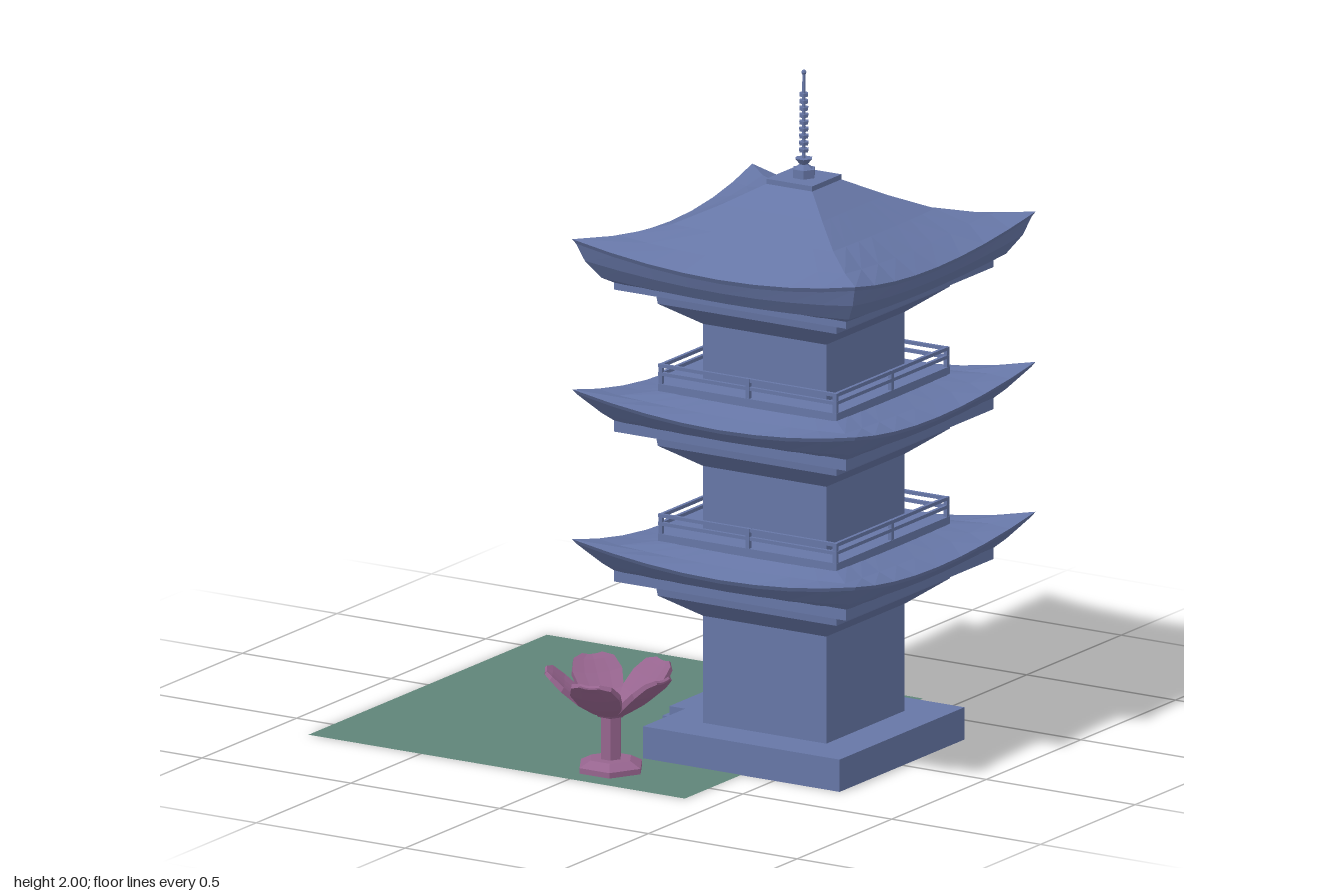
import * as THREE from 'three';

const paint = (color, side = THREE.FrontSide) =>
  new THREE.MeshStandardMaterial({ color, side, flatShading: true });
const BLUE = paint(0x6676a6);
const BLUE_OPEN = paint(0x6676a6, THREE.DoubleSide);
const PINK = paint(0x96648e);
const GREEN = paint(0x5f8478, THREE.DoubleSide);

function add(parent, name, geometry, material, x = 0, y = 0, z = 0) {
  const mesh = new THREE.Mesh(geometry, material);
  mesh.name = name;
  mesh.position.set(x, y, z);
  parent.add(mesh);
  return mesh;
}

// Skin between equal-length closed rings of points
function loft(rings) {
  const pos = [];
  const n = rings[0].length;
  for (let i = 0; i + 1 < rings.length; i++) {
    for (let j = 0; j < n; j++) {
      const k = (j + 1) % n;
      const a = rings[i][j], b = rings[i][k], c = rings[i + 1][k], d = rings[i + 1][j];
      for (const p of [a, b, c, a, c, d]) pos.push(...p);
    }
  }
  const g = new THREE.BufferGeometry();
  g.setAttribute('position', new THREE.Float32BufferAttribute(pos, 3));
  g.computeVertexNormals();
  return g;
}

// Square ring: corners raised by lift, side middles drawn in by inset
function squareRing([half, y, lift = 0, inset = 0], seg) {
  const ring = [];
  for (let side = 0; side < 4; side++) {
    for (let i = 0; i < seg; i++) {
      const t = -1 + (2 * i) / seg;
      const p = new THREE.Vector3(half - inset * (1 - t * t), y + lift * t * t, -t * half);
      p.applyAxisAngle(new THREE.Object3D().up, (side * Math.PI) / 2);
      ring.push([p.x, p.y, p.z]);
    }
  }
  return ring;
}
const squareLoft = (profile, seg = 1) => loft(profile.map((p) => squareRing(p, seg)));

// Walls, flared bracket and eave beam of one storey
function addStorey(parent, bottom, dy) {
  const storey = new THREE.Group();
  storey.name = 'storey';
  const h = 0.42 + dy - bottom;
  add(storey, 'walls', new THREE.BoxGeometry(0.414, h, 0.414), BLUE, 0, bottom + h / 2);
  add(storey, 'bracket', squareLoft([[0.207, 0.41 + dy], [0.3, 0.477 + dy], [0.308, 0.535 + dy]]), BLUE);
  add(storey, 'eaveBeam', new THREE.BoxGeometry(0.78, 0.045, 0.78), BLUE, 0, 0.549 + dy);
  parent.add(storey);
}

// Balcony floor with a two-bar railing on every side
function addBalcony(parent, y) {
  const balcony = new THREE.Group();
  balcony.name = 'balcony';
  balcony.position.y = y;
  add(balcony, 'floor', new THREE.BoxGeometry(0.6, 0.05, 0.6), BLUE, 0, -0.025);
  for (let i = 0; i < 4; i++) {
    const side = new THREE.Group();
    side.name = 'railing';
    side.rotation.y = (i * Math.PI) / 2;
    for (const ry of [0.029, 0.053]) {
      add(side, 'rail', new THREE.BoxGeometry(0.6, 0.01, 0.01), BLUE, 0, ry, 0.293);
    }
    for (const px of [-0.293, 0]) {
      add(side, 'post', new THREE.BoxGeometry(0.012, 0.058, 0.012), BLUE, px, 0.029, 0.293);
    }
    balcony.add(side);
  }
  parent.add(balcony);
}

// Finial: hexagonal foot, flared cup, ringed pole, small bead
function addSpire(parent) {
  const spire = new THREE.Group();
  spire.name = 'spire';
  const hex = (name, rTop, rBottom, y0, y1) =>
    add(spire, name, new THREE.CylinderGeometry(rTop, rBottom, y1 - y0, 6), BLUE, 0, (y0 + y1) / 2)
      .rotation.y = Math.PI / 6;
  add(spire, 'plinth', new THREE.BoxGeometry(0.154, 0.02, 0.154), BLUE, 0, 1.675);
  hex('foot', 0.035, 0.035, 1.685, 1.71);
  hex('neck', 0.012, 0.028, 1.71, 1.722);
  hex('cup', 0.027, 0.012, 1.722, 1.74);
  hex('pole', 0.005, 0.006, 1.7, 1.99);
  for (let i = 0; i < 9; i++) {
    hex('ring', 0.016 - i * 0.0003, 0.014, 1.758 + i * 0.0205, 1.768 + i * 0.0205);
  }
  add(spire, 'bead', new THREE.SphereGeometry(0.008, 6, 4), BLUE, 0, 1.992);
  parent.add(spire);
}

// Cupped petal pointing along +x; stations are [reach, height, half width, thickness]
function petalGeometry() {
  const stations = [
    [0.02, 0.165, 0.015, 0.015], [0.05, 0.168, 0.037, 0.015], [0.092, 0.195, 0.064, 0.015],
    [0.14, 0.236, 0.074, 0.014], [0.172, 0.269, 0.06, 0.012], [0.187, 0.283, 0.03, 0.01],
    [0.187, 0.288, 0.03, 0],
  ];
  return loft(stations.map(([x, y, w, th]) => {
    const row = (ts, up) => ts.map((t) => [x - up * 0.6, y + up + 0.15 * w * t * t, t * w]);
    return [...row([1, 0.5, 0, -0.5, -1], 0), ...row([-1, -0.5, 0, 0.5, 1], th)];
  }));
}

// Flower on a stem with a hexagonal foot
function createFlower(mirror) {
  const flower = new THREE.Group();
  flower.name = 'flower';
  const prism = (name, rTop, rBottom, y0, y1) =>
    add(flower, name, new THREE.CylinderGeometry(rTop, rBottom, y1 - y0, 6), PINK, 0, (y0 + y1) / 2)
      .rotation.y = Math.PI / 6;
  prism('foot', 0.1, 0.1, 0, 0.017);
  prism('footSlope', 0.065, 0.1, 0.017, 0.035);
  prism('stem', 0.032, 0.032, 0.035, 0.175);
  prism('calyx', 0.055, 0.04, 0.16, 0.178);
  const petal = petalGeometry();
  for (let i = 0; i < 5; i++) {
    add(flower, 'petal', petal, PINK).rotation.y = mirror * (0.08 + (i * 2 * Math.PI) / 5);
  }
  return flower;
}

export function createModel() {
  const model = new THREE.Group();
  model.name = 'pagodaGarden';

  // Lawn
  add(model, 'lawn', new THREE.PlaneGeometry(1.265, 1.26), GREEN, -0.243, 0.001, 0.003)
    .rotation.x = -Math.PI / 2;

  // Tower
  const tower = new THREE.Group();
  tower.name = 'tower';
  tower.position.set(0.39, 0, 0.005);
  model.add(tower);

  // Hollow base and entrance steps
  add(tower, 'base', squareLoft([[0.33, 0], [0.33, 0.095], [0, 0.095]]), BLUE_OPEN);
  [[-0.45, 0.032], [-0.408, 0.063], [-0.385, 0.094]].forEach(([x, h]) => {
    add(tower, 'step', new THREE.BoxGeometry(-0.33 - x, h, 0.19), BLUE, (x - 0.33) / 2, h / 2, 0.01);
  });

  // Storeys
  addStorey(tower, 0.09, 0);
  addStorey(tower, 0.64, 0.441);
  addStorey(tower, 1.08, 0.859);

  // Lower roofs with balconies; profile rows are [half, y, corner lift, inset]
  for (const dy of [0, 0.441]) {
    const lower = [
      [0.38, 0.55], [0.415, 0.557, 0.026, 0.01], [0.468, 0.59, 0.055, 0.025],
      [0.476, 0.603, 0.055, 0.025], [0.38, 0.618, 0.014, 0.008], [0.28, 0.64],
    ];
    add(tower, 'lowerRoof', squareLoft(lower.map(([h, y, ...r]) => [h, y + dy, ...r]), 8), BLUE);
    addBalcony(tower, 0.66 + dy);
  }

  // Top roof
  add(tower, 'topRoof', squareLoft([
    [0.38, 1.4], [0.415, 1.404, 0.018, 0.01], [0.45, 1.44, 0.035, 0.02], [0.468, 1.472, 0.055, 0.025],
    [0.476, 1.486, 0.055, 0.025], [0.38, 1.522, 0.022, 0.012], [0.27, 1.565, 0.003],
    [0.17, 1.617], [0.077, 1.67], [0, 1.67],
  ], 8), BLUE);
  addSpire(tower);

  // Flowers on both sides of the entrance
  for (const s of [-1, 1]) {
    const flower = createFlower(-s);
    flower.position.set(0.045, 0, 0.48 * s + 0.003);
    model.add(flower);
  }
  return model;
}
